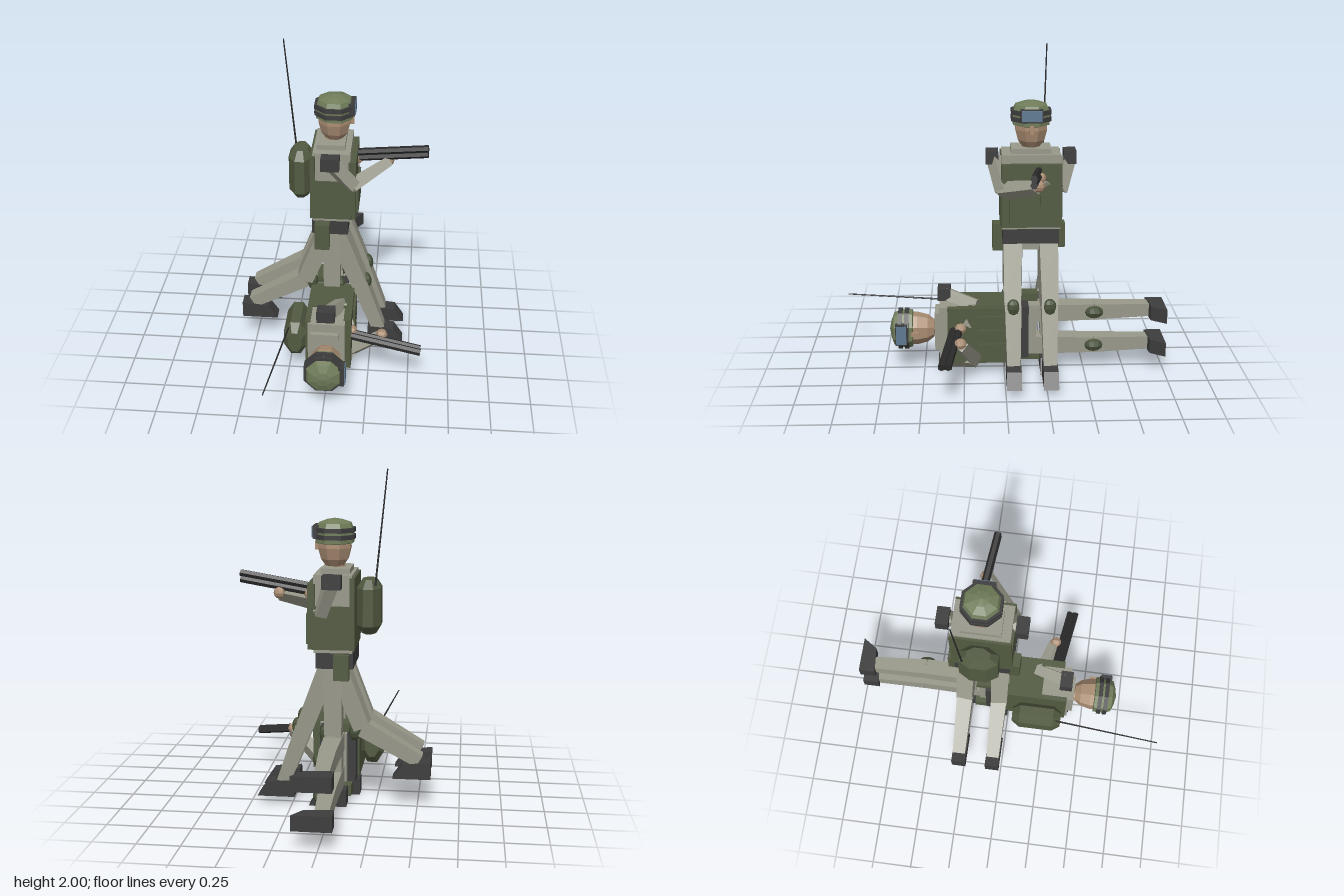
import * as THREE from 'three';

const mat = (color) => new THREE.MeshStandardMaterial({ color, flatShading: true, side: THREE.DoubleSide });
const cloth = mat(0x98988a), vest = mat(0x525a41), shell = mat(0x6f7c59), dark = mat(0x3d3d3d),
  metal = mat(0x2a2a2a), skin = mat(0xa98c72), glass = mat(0x5f7a92), kneeMat = mat(0x465038);

const V = (a) => new THREE.Vector3(...a);

function add(parent, name, geometry, material, position = [0, 0, 0]) {
  const mesh = new THREE.Mesh(geometry, material);
  mesh.name = name;
  mesh.position.set(...position);
  parent.add(mesh);
  return mesh;
}

// Box given by its lower and upper corners
function box(parent, name, material, lo, hi) {
  const size = hi.map((h, i) => h - lo[i]);
  return add(parent, name, new THREE.BoxGeometry(...size), material, hi.map((h, i) => (h + lo[i]) / 2));
}

// Tapered bar between two points; four sides gives a square section of the given widths
function bar(parent, name, material, a, b, wa, wb, sides = 4) {
  const dir = V(b).sub(V(a));
  const k = sides === 4 ? Math.SQRT1_2 : 0.5;
  const g = new THREE.CylinderGeometry(wb * k, wa * k, dir.length(), sides);
  if (sides === 4) g.rotateY(Math.PI / 4);
  const mesh = add(parent, name, g, material);
  mesh.position.copy(V(a).add(V(b)).multiplyScalar(0.5));
  mesh.quaternion.setFromUnitVectors(new THREE.Vector3(0, 1, 0), dir.normalize());
  return mesh;
}

// Eight-sided turned shape with flats towards the axes
function turned(parent, name, material, points, position, scaleZ = 1) {
  const g = new THREE.LatheGeometry(points.map((p) => new THREE.Vector2(...p)), 8);
  g.rotateY(Math.PI / 8).scale(1, 1, scaleZ);
  return add(parent, name, g, material, position);
}

// Boot with a sloping toe; x is the heel, y the sole
function boot(parent, x, y, z, topFront = 0.1) {
  const s = new THREE.Shape();
  s.moveTo(0, 0);
  s.lineTo(0.225, 0);
  s.lineTo(0.165, topFront - 0.01);
  s.lineTo(0, 0.105);
  s.closePath();
  add(parent, 'boot', new THREE.ExtrudeGeometry(s, { depth: 0.09, bevelEnabled: false }), dark, [x, y, z - 0.045]);
}

// One leg through hip, knee and ankle, with a knee pad
function leg(parent, name, z, hip, knee, ankle, heel, pad) {
  const g = new THREE.Group();
  g.name = name;
  const inner = z * 1.05;
  bar(g, 'thigh', cloth, [...hip, z], [...knee, inner], 0.115, 0.1);
  bar(g, 'shin', cloth, [...knee, inner], [...ankle, inner], 0.1, 0.08);
  add(g, 'kneePad', new THREE.SphereGeometry(1, 8, 6), kneeMat, [...pad, inner]).scale.set(0.035, 0.057, 0.042);
  boot(g, ...heel, inner);
  parent.add(g);
}

function createSoldier(name, stride) {
  const g = new THREE.Group();
  g.name = name;

  // Torso and vest
  box(g, 'torso', cloth, [-0.115, 0.945, -0.175], [0.11, 1.4, 0.175]);
  box(g, 'vestLower', vest, [-0.125, 0.965, -0.185], [0.12, 1.22, 0.185]);
  box(g, 'vestBack', vest, [-0.13, 0.965, -0.183], [-0.1, 1.385, 0.183]);
  box(g, 'vestFront', vest, [0.1, 0.965, -0.18], [0.145, 1.35, 0.18]);
  for (const z of [-0.09, 0, 0.09])
    box(g, 'ammoPouch', vest, [0.13, 0.985, z - 0.04], [0.16, 1.165, z + 0.04]);
  box(g, 'collar', cloth, [-0.095, 1.4, -0.12], [0.075, 1.43, 0.12]);
  box(g, 'belt', dark, [-0.12, 0.85, -0.17], [0.1, 0.945, 0.17]);
  box(g, 'pelvis', cloth, [-0.07, 0.8, -0.15], [0.06, 0.86, 0.15]);
  box(g, 'holster', vest, [-0.1, 0.77, 0.165], [-0.01, 0.94, 0.23]);
  box(g, 'hipPouch', vest, [-0.1, 0.79, -0.215], [-0.01, 0.94, -0.165]);

  // Backpack and aerial
  turned(g, 'backpack', vest,
    [[0, -0.16], [0.045, -0.16], [0.077, -0.11], [0.077, 0.11], [0.045, 0.16], [0, 0.16]], [-0.2, 1.2, 0], 1.65);
  bar(g, 'aerial', metal, [-0.24, 1.33, -0.09], [-0.307, 2.0, -0.112], 0.012, 0.008, 5);

  // Head, helmet and goggles
  bar(g, 'neck', skin, [-0.015, 1.4, 0], [-0.005, 1.48, 0], 0.09, 0.09, 8);
  turned(g, 'head', skin, [[0, 1.43], [0.055, 1.435], [0.085, 1.475], [0.102, 1.54], [0.1, 1.62]], [0.005, 0, 0]);
  box(g, 'nose', skin, [0.09, 1.525, -0.012], [0.122, 1.575, 0.012]);
  turned(g, 'helmet', shell,
    [[0.1, 1.565], [0.117, 1.57], [0.117, 1.645], [0.1, 1.685], [0.05, 1.703], [0, 1.712]], [0.005, 0, 0]);
  for (const y of [1.605, 1.645])
    turned(g, 'helmetBand', dark,
      [[0.11, y - 0.013], [0.128, y - 0.013], [0.128, y + 0.013], [0.11, y + 0.013]], [0.005, 0, 0]);
  box(g, 'goggleFrame', dark, [0.09, 1.598, -0.066], [0.127, 1.672, 0.066]);
  box(g, 'goggleLens', glass, [0.12, 1.605, -0.06], [0.133, 1.667, 0.06]);

  // Arms with shoulder pads
  for (const s of [-1, 1])
    box(g, 'shoulderPad', dark, [-0.06, 1.33, s * 0.2325 - 0.0375], [0.05, 1.41, s * 0.2325 + 0.0375]);
  bar(g, 'rightUpperArm', cloth, [0, 1.36, 0.215], [0.125, 1.19, 0.165], 0.075, 0.075);
  bar(g, 'rightForearm', cloth, [0.11, 1.185, 0.165], [0.33, 1.265, -0.02], 0.085, 0.06);
  add(g, 'rightHand', new THREE.SphereGeometry(0.036, 8, 6), skin, [0.33, 1.27, -0.03]);
  bar(g, 'leftUpperArm', cloth, [0, 1.36, -0.225], [0.07, 1.17, -0.175], 0.075, 0.065);
  bar(g, 'leftForearm', cloth, [0.07, 1.18, -0.17], [0.13, 1.24, -0.06], 0.065, 0.055);
  add(g, 'leftHand', new THREE.SphereGeometry(0.035, 8, 6), skin, [0.145, 1.27, -0.05]);

  // Twin-tube rifle
  for (const dy of [-0.019, 0.019])
    bar(g, 'rifleTube', metal, [0.06, 1.285 + dy, -0.05], [0.57, 1.36 + dy, 0.012], 0.044, 0.044, 6);

  // Straight legs, plus the striding sets
  for (const s of [-1, 1]) {
    const shift = stride && s > 0 ? -0.06 : 0;
    leg(g, 'straightLeg', s * 0.105, [0, 0.88], [0, 0.44], [-0.015 + shift, 0.08], [-0.08 + shift, 0], [0.05, 0.44]);
    if (!stride) continue;
    leg(g, 'forwardLeg', s * 0.105, [0.02, 0.88], [0.175, 0.48], [0.3, 0.14], [0.232, 0.05], [0.215, 0.48]);
    leg(g, 'trailingLeg', s * 0.105, [-0.02, 0.88], [-0.175, 0.49], [-0.51, 0.3], [-0.578, 0.19], [-0.125, 0.46]);
  }
  return g;
}

export function createModel() {
  const model = new THREE.Group();
  model.name = 'soldiers';
  const standing = createSoldier('standingSoldier', true);
  standing.position.z = -0.16;
  const lying = createSoldier('lyingSoldier', false);
  lying.rotation.x = Math.PI / 2;
  lying.position.set(0, 0.27, -1);
  model.add(standing, lying);
  return model;
}
